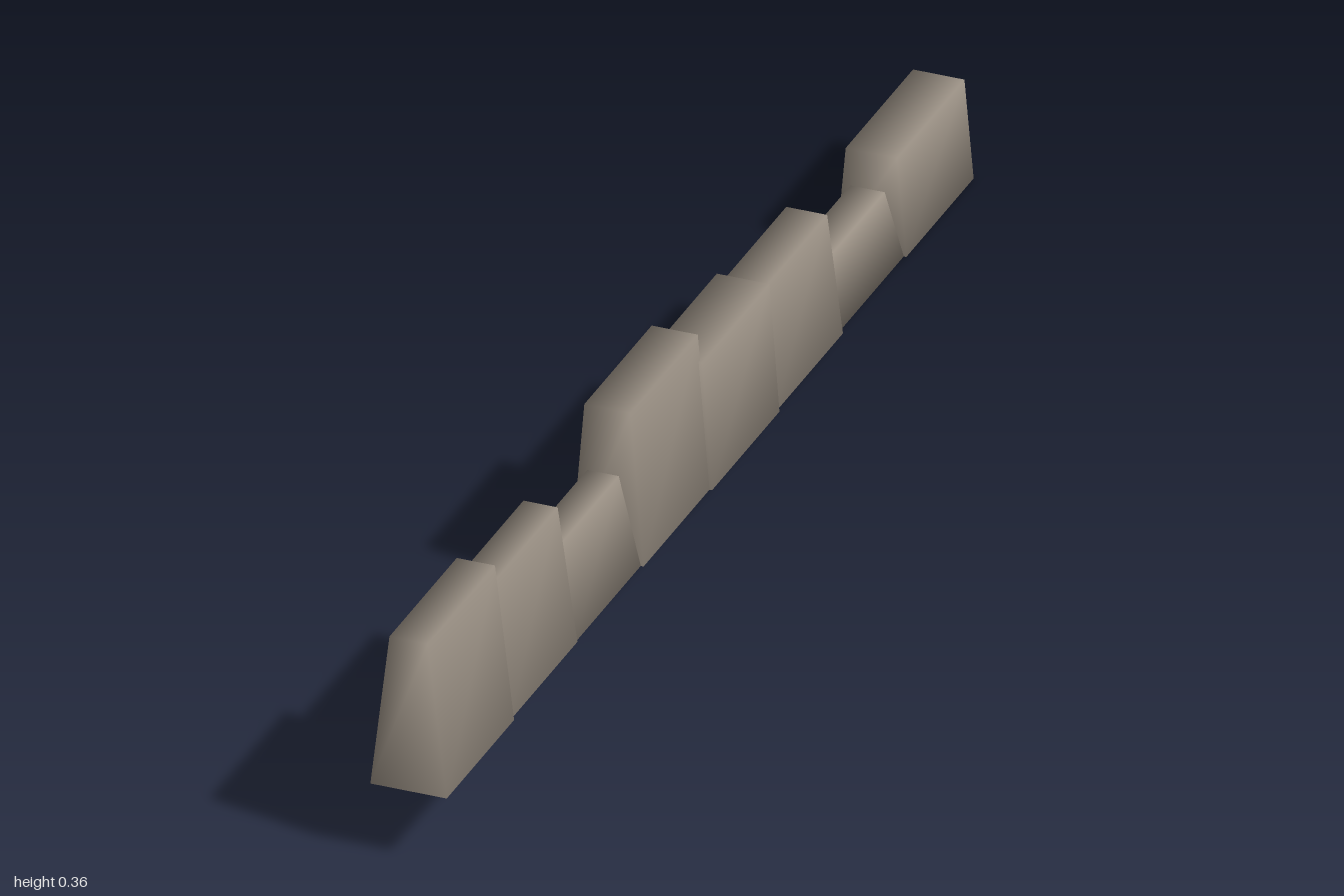
import * as THREE from 'three';
import { mergeVertices } from 'three/addons/utils/BufferGeometryUtils.js';

const LENGTH = 0.262;
const YAW = Math.atan(0.318); // heading of the row, away from z
const RISE = 0.054; // climb per unit of length

// One block per row: centre x, base width, top width, height
const BLOCKS = [
  [-0.278, 0.106, 0.078, 0.159],
  [-0.206, 0.110, 0.052, 0.099],
  [-0.121, 0.110, 0.062, 0.189],
  [-0.038, 0.110, 0.080, 0.206],
  [0.036, 0.110, 0.070, 0.247],
  [0.107, 0.115, 0.048, 0.140],
  [0.189, 0.112, 0.052, 0.214],
  [0.270, 0.116, 0.058, 0.247],
];

// Tapered, sloping box with corners shared so the shading is soft
function blockGeometry(base, top, height) {
  let geo = new THREE.BoxGeometry(1, 1, 1);
  geo.deleteAttribute('uv');
  geo.deleteAttribute('normal');
  geo = mergeVertices(geo);
  const p = geo.attributes.position;
  for (let i = 0; i < p.count; i++) {
    const z = p.getZ(i) * LENGTH;
    const upper = p.getY(i) > 0;
    p.setXYZ(i, p.getX(i) * (upper ? top : base), (upper ? height : 0) + z * RISE, z);
  }
  geo.computeVertexNormals();
  return geo;
}

export function createModel() {
  const model = new THREE.Group();
  model.name = 'stoneRow';
  const stone = new THREE.MeshStandardMaterial({ color: 0x9c9286 });
  stone.name = 'stone';

  // Row of stones climbing towards the front
  BLOCKS.forEach(([x, base, top, height], i) => {
    const block = new THREE.Mesh(blockGeometry(base, top, height), stone);
    block.name = `stoneBlock${i + 1}`;
    block.position.set(x, 0.007 + 0.014 * i, -0.86 + 0.2455 * i);
    block.rotation.y = YAW;
    model.add(block);
  });
  return model;
}
